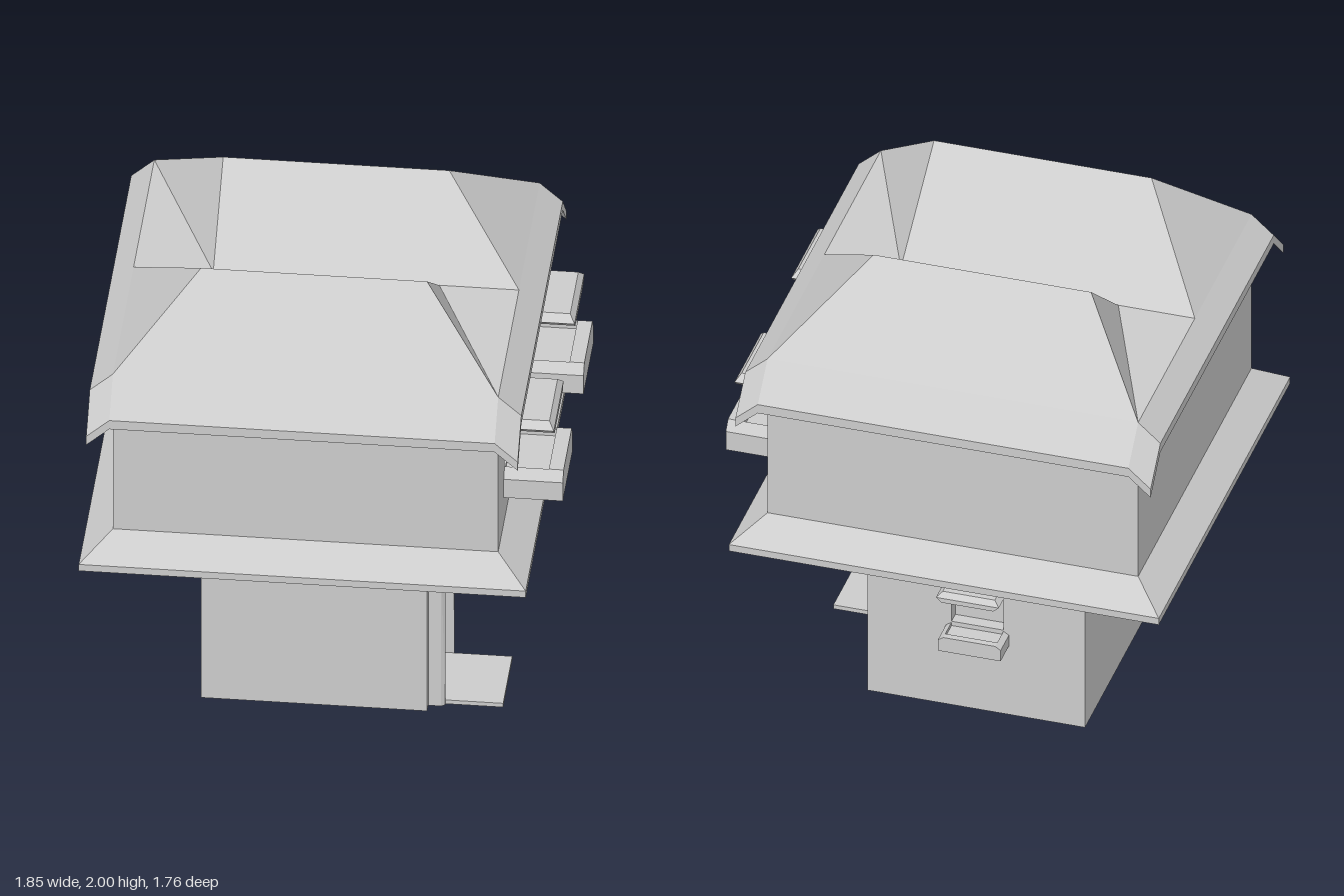
import * as THREE from 'three';

const grey = new THREE.MeshStandardMaterial({ color: 0xcccccc, flatShading: true });
const greyThin = new THREE.MeshStandardMaterial({ color: 0xcccccc, flatShading: true, side: THREE.DoubleSide });

function add(parent, name, geometry, material = grey) {
  const mesh = new THREE.Mesh(geometry, material);
  mesh.name = name;
  parent.add(mesh);
  return mesh;
}

function subGroup(parent, name, x = 0, y = 0, z = 0, turn = 0) {
  const g = new THREE.Group();
  g.name = name;
  g.position.set(x, y, z);
  g.rotation.y = turn;
  parent.add(g);
  return g;
}

// Flat polygons (counter-clockwise corners), each split into a fan
function polygons(faces) {
  const pos = [];
  for (const f of faces)
    for (let i = 1; i < f.length - 1; i++) pos.push(...f[0], ...f[i], ...f[i + 1]);
  const g = new THREE.BufferGeometry();
  g.setAttribute('position', new THREE.Float32BufferAttribute(pos, 3));
  g.computeVertexNormals();
  return g;
}

// Capped solid through rectangles [x0, x1, z0, z1, y], listed bottom to top
function stack(...rects) {
  const rings = rects.map(([x0, x1, z0, z1, y]) => [[x0, y, z1], [x1, y, z1], [x1, y, z0], [x0, y, z0]]);
  const faces = [[...rings[0]].reverse(), rings[rings.length - 1]];
  for (let r = 0; r < rings.length - 1; r++)
    for (let i = 0; i < 4; i++) {
      const j = (i + 1) % 4;
      faces.push([rings[r][i], rings[r][j], rings[r + 1][j], rings[r + 1][i]]);
    }
  return polygons(faces);
}

const block = (x0, x1, y0, y1, z0, z1) => stack([x0, x1, z0, z1, y0], [x0, x1, z0, z1, y1]);
const points = (list) => list.map(([x, y]) => new THREE.Vector2(x, y));
const rect = (x0, x1, y0, y1) => [[x0, y0], [x1, y0], [x1, y1], [x0, y1]];

// Wall panel with openings; its outer face lies on z = 0
function panel(outline, holes, depth) {
  const shape = new THREE.Shape(points(outline));
  for (const h of holes) shape.holes.push(new THREE.Path(points(h)));
  return new THREE.ExtrudeGeometry(shape, { depth, bevelEnabled: false }).translate(0, 0, -depth);
}

// Window hood and flower box, standing out along +z from the wall
function windowSet(parent, name, x, y, s) {
  const g = subGroup(parent, name, x, y, 0);
  const w = s.half, n = w - s.chamfer, d = s.hoodDepth;
  add(g, 'windowHood', stack(
    [-n, n, 0, d, s.hoodY], [-w, w, 0, d, s.hoodY + s.hoodH * 0.5],
    [-n, n, 0, d - 0.02, s.hoodY + s.hoodH]));
  const b = s.boxDepth, lip = b * 0.75;
  add(g, 'flowerBox', block(-w, w, 0, s.boxH, 0, b));
  add(g, 'flowerBoxLip', stack([-w, w, lip, b, s.boxH], [-n, n, lip, b, s.boxH + s.lipH]));
  for (const k of [-1, 1]) {
    const xs = [k * w, k * n].sort((p, q) => p - q);
    add(g, 'flowerBoxRim', stack([xs[0], xs[1], 0, lip, s.boxH], [k * n, k * n, 0, lip, s.boxH + s.lipH]));
  }
}

// One hipped roof half; ridge runs along x, valley lies on z = 0
function roofHalf(ridgeZ, rise) {
  const A = [-0.75, 0, 0.75], B = [0.75, 0, 0.75], F0 = [-0.44, rise, ridgeZ], F1 = [0.44, rise, ridgeZ];
  const V0 = [-0.75, 0, 0], V1 = [0.44, 0, 0], E = [0.75, 0, 0];
  return polygons([[A, B, F1, F0], [F0, F1, V1, V0], [A, F0, V0], [B, V1, F1], [B, E, V1]]);
}

// Drooping eaves: a border of thin sloped plates with bent corners
function eaves() {
  const xs = [-0.84, -0.75, 0.75, 0.84], zs = [-0.88, -0.75, 0.75, 0.88], t = 0.04;
  const p = (i, j, drop = 0) =>
    [xs[i], -(i % 3 ? 0 : 0.08) - (j % 3 ? 0 : 0.13) - drop, zs[j]];
  const faces = [];
  for (let i = 0; i < 3; i++) {
    for (let j = 0; j < 3; j++) {
      if (i === 1 && j === 1) continue;
      faces.push([p(i, j + 1), p(i + 1, j + 1), p(i + 1, j), p(i, j)]);
      faces.push([p(i, j, t), p(i + 1, j, t), p(i + 1, j + 1, t), p(i, j + 1, t)]);
    }
    faces.push([p(i, 3, t), p(i + 1, 3, t), p(i + 1, 3), p(i, 3)]);
    faces.push([p(i + 1, 0, t), p(i, 0, t), p(i, 0), p(i + 1, 0)]);
    faces.push([p(3, i + 1, t), p(3, i, t), p(3, i), p(3, i + 1)]);
    faces.push([p(0, i, t), p(0, i + 1, t), p(0, i + 1), p(0, i)]);
  }
  return polygons(faces);
}

// Door surround swept over three sides of the opening
function doorFrame() {
  const arch = (l, r, lt, rt, top, z) => [[l, 0, z], [lt, top, z], [rt, top, z], [r, 0, z]];
  const loops = [
    arch(-0.4, -0.04, -0.4, -0.04, 0.7, 0), arch(-0.4, -0.04, -0.4, -0.04, 0.7, 0.05),
    arch(-0.39, -0.05, -0.385, -0.055, 0.68, 0.065),
    arch(-0.385, -0.055, -0.37, -0.08, 0.64, 0.065), arch(-0.385, -0.055, -0.37, -0.08, 0.64, 0)];
  const faces = [];
  for (let k = 0; k < loops.length - 1; k++)
    for (let i = 0; i < 3; i++)
      faces.push([loops[k][i], loops[k + 1][i], loops[k + 1][i + 1], loops[k][i + 1]].reverse());
  return polygons(faces);
}

export function createModel() {
  const house = new THREE.Group();
  house.name = 'house';

  // Ground floor: solid core with door wall and back wall in front of it
  const ground = subGroup(house, 'groundFloor');
  add(ground, 'groundCore', block(-0.5, 0.28, 0, 0.85, -0.39, 0.44));
  const doorSide = subGroup(ground, 'doorSide', 0.38, 0, 0, Math.PI / 2);
  add(doorSide, 'doorWall', panel(
    [[-0.44, 0], [-0.385, 0], [-0.37, 0.64], [-0.08, 0.64], [-0.055, 0], [0.44, 0], [0.44, 0.85], [-0.44, 0.85]],
    [], 0.1));
  add(doorSide, 'doorFrame', doorFrame(), greyThin);
  add(doorSide, 'doorstep', block(-0.385, -0.055, 0.002, 0.02, -0.1, 0.29));

  const backSide = subGroup(ground, 'backSide', 0, 0, -0.44, Math.PI);
  add(backSide, 'backWall', panel(rect(-0.28, 0.5, 0, 0.85), [rect(-0.04, 0.17, 0.39, 0.565)], 0.05));
  windowSet(backSide, 'backWindow', 0.065, 0.32, {
    half: 0.127, chamfer: 0.022, hoodDepth: 0.135, hoodY: 0.245, hoodH: 0.04,
    boxDepth: 0.11, boxH: 0.05, lipH: 0.015 });

  // Flared skirt between the floors
  add(house, 'skirt', stack(
    [-0.93, 0.81, -0.87, 0.87, 0.845], [-0.93, 0.81, -0.87, 0.87, 0.875], [-0.81, 0.69, -0.75, 0.75, 0.97]));

  // Upper floor with two windows
  const upper = subGroup(house, 'upperFloor');
  add(upper, 'upperCore', block(-0.81, 0.64, 0.97, 1.68, -0.75, 0.75));
  const windowSide = subGroup(upper, 'windowSide', 0.69, 0, 0, Math.PI / 2);
  const centres = [-0.375, 0.375];
  add(windowSide, 'windowWall', panel(rect(-0.75, 0.75, 0.97, 1.68),
    centres.map((c) => rect(c - 0.145, c + 0.145, 1.19, 1.39)), 0.05));
  for (const c of centres)
    windowSet(windowSide, 'upperWindow', c, 1.09, {
      half: 0.176, chamfer: 0.03, hoodDepth: 0.195, hoodY: 0.295, hoodH: 0.055,
      boxDepth: 0.23, boxH: 0.085, lipH: 0.04 });

  // Double roof: the rear half is the front half turned around
  const roof = subGroup(house, 'roof', -0.06, 1.69, 0);
  add(roof, 'frontRoof', roofHalf(0.44, 0.31));
  add(roof, 'rearRoof', roofHalf(0.36, 0.295)).rotation.y = Math.PI;
  add(roof, 'eaves', eaves(), greyThin);

  return house;
}
